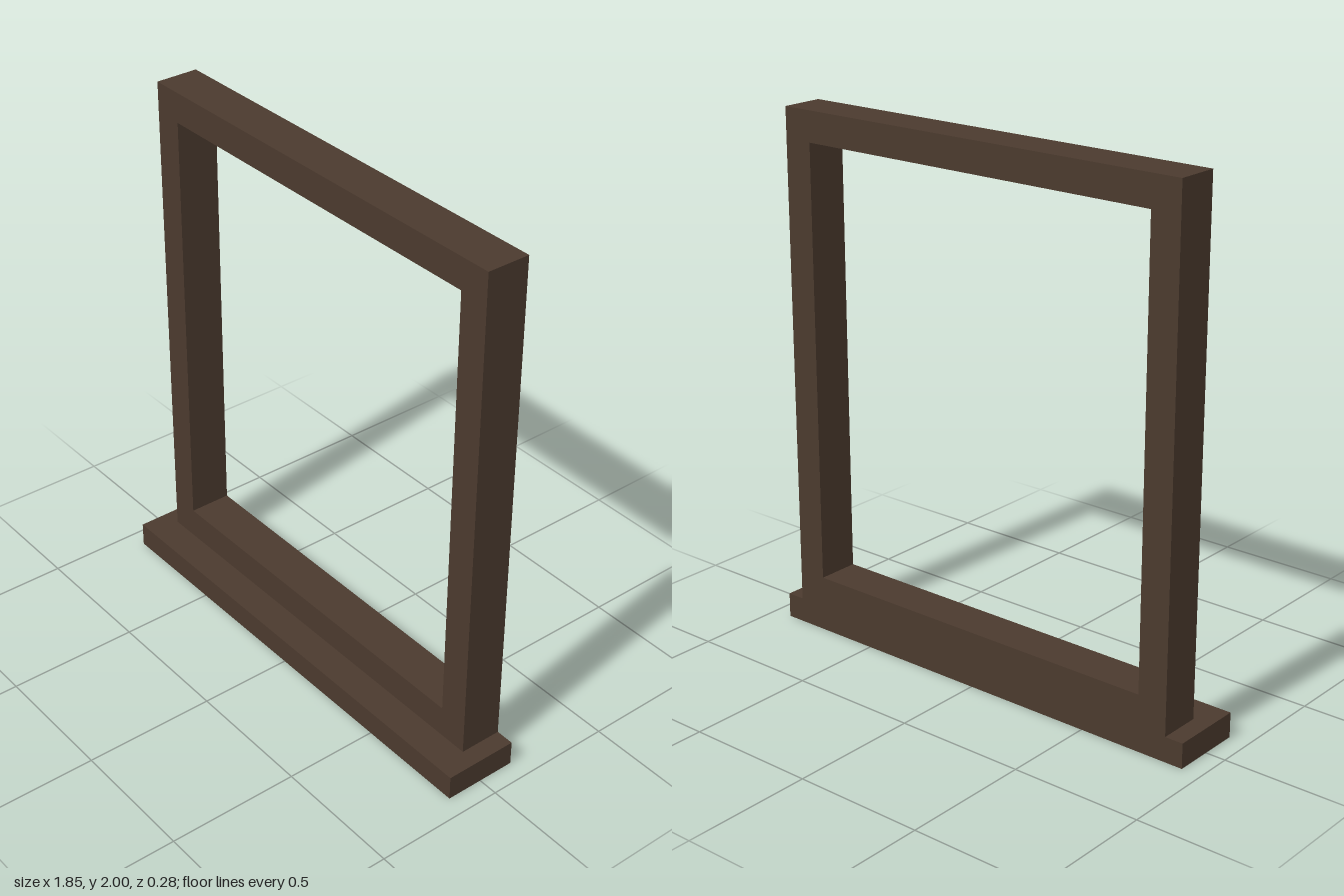
import * as THREE from 'three';

// Rectangle corners, used for both the outline and the opening
function rect(path, x, y0, y1) {
  path.moveTo(-x, y0);
  path.lineTo(x, y0);
  path.lineTo(x, y1);
  path.lineTo(-x, y1);
  path.closePath();
  return path;
}

export function createModel() {
  const group = new THREE.Group();
  group.name = 'windowFrame';
  const wood = new THREE.MeshStandardMaterial({ color: 0x4b3a2e });

  const sillHeight = 0.095;
  const back = -0.142;

  // Frame: one solid surround with a rectangular opening
  const outline = rect(new THREE.Shape(), 0.852, sillHeight, 2);
  outline.holes.push(rect(new THREE.Path(), 0.738, 0.215, 1.885));
  const frame = new THREE.Mesh(
    new THREE.ExtrudeGeometry(outline, { depth: 0.164, bevelEnabled: false }),
    wood
  );
  frame.name = 'frame';
  frame.position.z = back;
  group.add(frame);

  // Sill: wider board, flush with the frame at the back
  const sill = new THREE.Mesh(new THREE.BoxGeometry(1.846, sillHeight, 0.284), wood);
  sill.name = 'sill';
  sill.position.y = sillHeight / 2;
  group.add(sill);

  return group;
}
